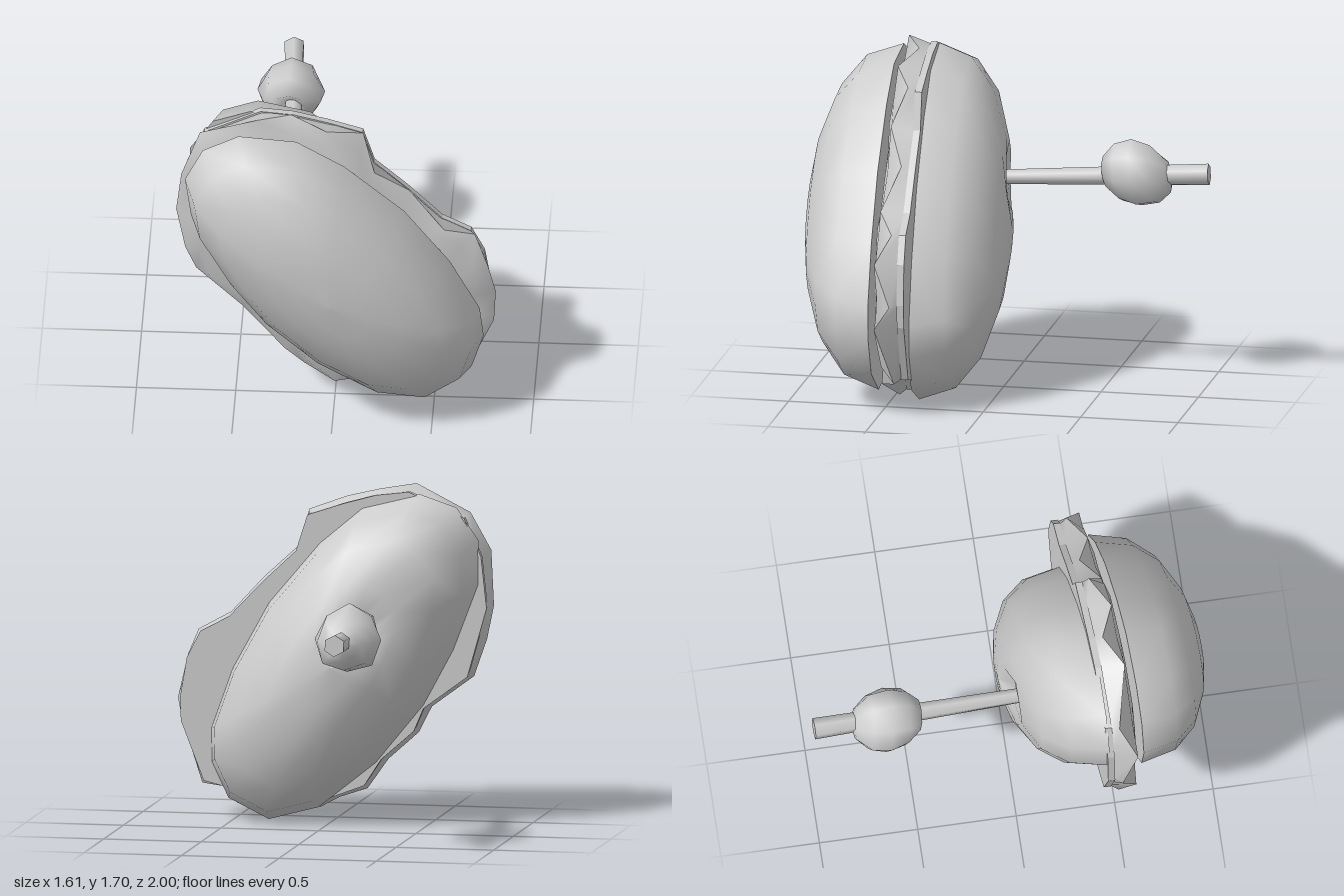
import * as THREE from 'three';

const mat = new THREE.MeshStandardMaterial({ color: 0xcccccc, side: THREE.DoubleSide });

// Bun outline, counter-clockwise, relative to the bun's centre
const BUN = [[0.75, -0.45], [0.73, -0.28], [0.58, 0.01], [0.35, 0.32], [0.05, 0.59], [-0.19, 0.74],
  [-0.48, 0.77], [-0.66, 0.68], [-0.75, 0.5], [-0.72, 0.28], [-0.55, -0.03], [-0.36, -0.29],
  [-0.08, -0.55], [0.24, -0.74], [0.5, -0.77], [0.69, -0.64]];

// Ragged outline of the filling, counter-clockwise
const LEAF = [[0.8, 0.48], [0.805, 0.6], [0.77, 0.81], [0.7, 0.95], [0.55, 1.03], [0.37, 1.22], [0.2, 1.38],
  [0.14, 1.57], [-0.04, 1.63], [-0.22, 1.68], [-0.39, 1.7], [-0.68, 1.57], [-0.77, 1.37], [-0.8, 1.1],
  [-0.75, 0.92], [-0.7, 0.74], [-0.47, 0.57], [-0.42, 0.45], [-0.25, 0.3], [-0.16, 0.16], [0.0, 0.1],
  [0.08, 0.06], [0.32, 0.06], [0.5, 0.07], [0.57, 0.14], [0.68, 0.17]];

// Skin a list of equal-length loops; the last loop may collapse to a point
function skin(loops, flip = false) {
  const n = loops[0].length, idx = [];
  for (let r = 0; r < loops.length - 1; r++) {
    for (let i = 0; i < n; i++) {
      const a = r * n + i, b = r * n + (i + 1) % n, c = a + n, d = b + n;
      if (flip) idx.push(a, c, b, b, c, d);
      else idx.push(a, b, c, b, d, c);
    }
  }
  const g = new THREE.BufferGeometry();
  g.setAttribute('position', new THREE.Float32BufferAttribute(loops.flat(2), 3));
  g.setIndex(idx);
  g.computeVertexNormals();
  return g;
}

function add(parent, name, geometry) {
  const mesh = new THREE.Mesh(geometry, mat);
  mesh.name = name;
  parent.add(mesh);
  return mesh;
}

// Domed bun half: dir +1 bulges to the front, -1 to the back
function makeBun(name, { cx, cy, z, depth, dir, turn, dent }) {
  const group = new THREE.Group();
  group.name = name;
  const c = Math.cos(turn), s = Math.sin(turn);
  const profile = [[1, 0], [0.925, 0.43], [0.75, 0.71], [0.48, 0.9], [0.25, 0.975], [0.001, 1]];
  const loop = ([k, h]) => BUN.map(([px, py]) => {
    const x = cx + k * (px * c - py * s), y = cy + k * (px * s + py * c);
    let w = z - 0.03 * x + 0.03 * (y - cy) + dir * depth * h;
    if (dent) w += 0.08 * Math.exp(-((x - dent[0]) ** 2 + (y - dent[1]) ** 2) / 0.015);
    return [x, y, w];
  });
  add(group, 'crust', skin(profile.map(loop), dir < 0));
  add(group, 'cutFace', skin([[1, 0], [0.001, 0]].map(loop), dir > 0));
  return group;
}

// Slight tilt of the filling
const lean = (x, y) => -0.045 * x + 0.012 * (y - 0.87);

export function createModel() {
  const model = new THREE.Group();
  model.name = 'sandwich';

  // Two bun halves, the rear one turned slightly more upright
  model.add(makeBun('frontBun', { cx: 0, cy: 0.86, z: 0.575, depth: 0.425, dir: 1, turn: 0 }));
  model.add(makeBun('backBun', { cx: -0.06, cy: 0.835, z: 0.4, depth: 0.432, dir: -1, turn: -0.14, dent: [-0.235, 1.03] }));

  // Thin flat slice with pointed corners
  const shape = new THREE.Shape(LEAF.map(([x, y]) => new THREE.Vector2(x * 0.97, 0.87 + (y - 0.87) * 0.97)));
  const slice = new THREE.ExtrudeGeometry(shape, { depth: 0.035, bevelEnabled: false });
  const p = slice.attributes.position;
  for (let i = 0; i < p.count; i++) p.setZ(i, p.getZ(i) + 0.39 + lean(p.getX(i), p.getY(i)));
  slice.computeVertexNormals();
  add(model, 'slice', slice);

  // Wavy leaf: a zigzag outer edge rising from the slice and tucked under the front bun
  const ring = (k, zOf) => LEAF.map(([x, y], i) => {
    const X = x * k, Y = 0.87 + (y - 0.87) * k;
    return [X, Y, zOf(i) + lean(X, Y)];
  });
  const tooth = i => (i % 2 ? 0.46 : 0.54);
  add(model, 'leafEdge', skin([ring(0.955, () => 0.415), ring(1, tooth)]));
  add(model, 'leafTop', skin([ring(1, tooth), ring(0.9, i => 0.5 + tooth(i) * 0.08), ring(0.72, () => 0.565)]));

  // Pick, widening towards its free end
  const a = new THREE.Vector3(-0.23, 1.025, 0.15), b = new THREE.Vector3(-0.283, 1.088, -0.996);
  const pick = add(model, 'pick', new THREE.CylinderGeometry(0.055, 0.036, a.distanceTo(b), 6));
  pick.position.copy(a).lerp(b, 0.5);
  pick.quaternion.setFromUnitVectors(new THREE.Vector3(0, 1, 0), b.clone().sub(a).normalize());

  // Lumpy olive on the pick, hollowed where the pick goes in
  const rings = [];
  for (let j = 0; j <= 6; j++) {
    const t = Math.PI * j / 6;
    rings.push(Array.from({ length: 8 }, (_, i) => {
      const f = i / 8 * Math.PI * 2;
      const r = Math.max(Math.sin(t), 0.001) * (1 + 0.06 * Math.sin(3 * f + j));
      const z = j === 0 ? 0.1 : 0.185 * Math.cos(t) + 0.03 * Math.sin(t) * Math.sin(f);
      return [0.17 * r * Math.cos(f), 0.17 * r * Math.sin(f), z];
    }));
  }
  add(model, 'olive', skin(rings)).position.set(-0.28, 1.07, -0.625);

  return model;
}
